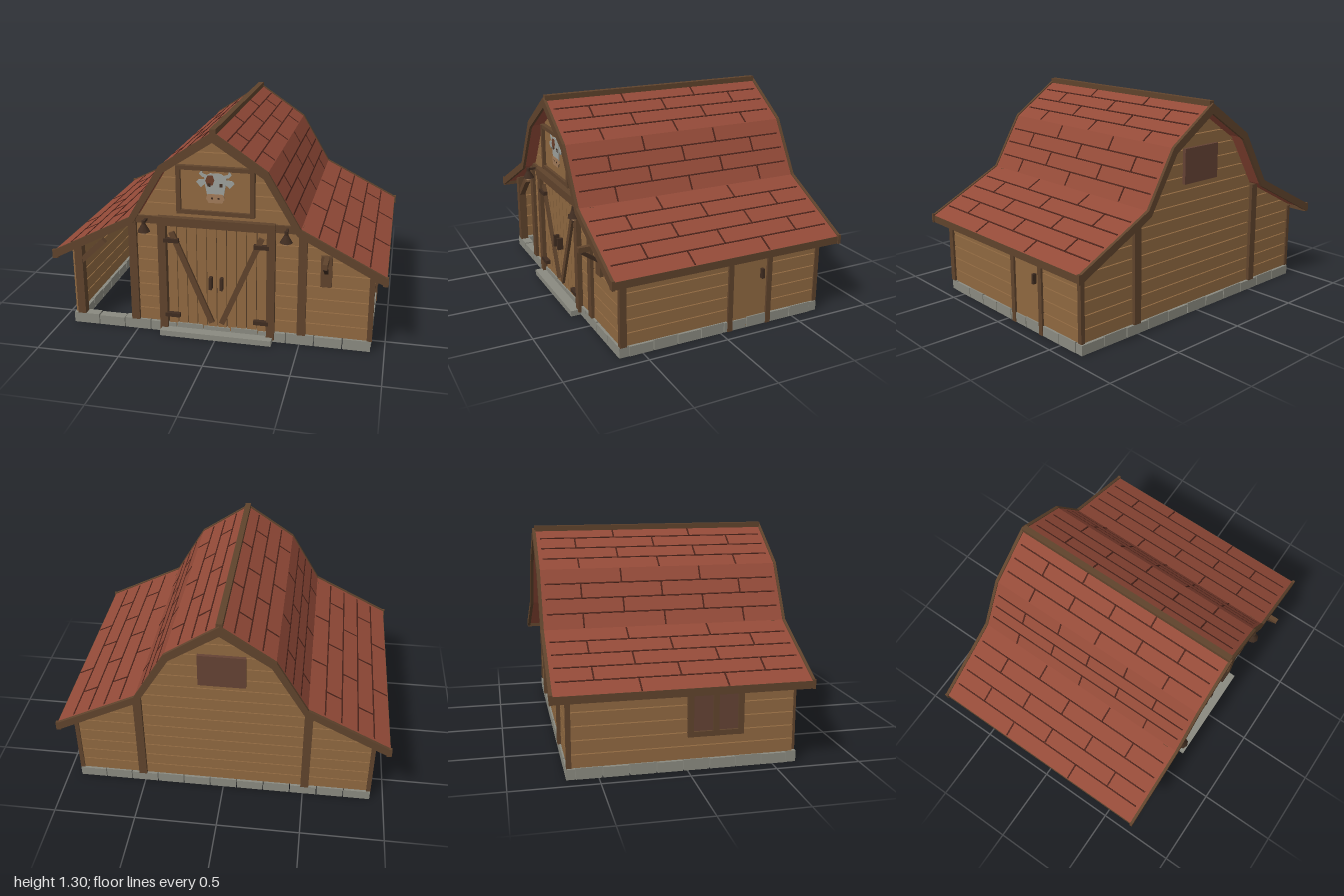
import * as THREE from 'three';

export function createModel() {
  const root = new THREE.Group();
  root.name = 'barn';
  const mat = (name, color) => Object.assign(new THREE.MeshStandardMaterial({ color }), { name });
  const wood = mat('plank wood', 0x8f6840), trim = mat('dark timber', 0x5f432c);
  const red = mat('roof red', 0x934a38), seam = mat('roof seam', 0x4c241b);
  const stone = mat('stone', 0x8a8a80), iron = mat('iron', 0x3f2c20);
  const white = mat('painted white', 0x9c9f9a), patch = mat('patch brown', 0x6b3f2a);
  const muzzleTan = mat('muzzle tan', 0xa07a58), hatchBrown = mat('shutter brown', 0x644234);

  const add = (name, geo, m, parent = root) => {
    const mesh = new THREE.Mesh(geo, m);
    mesh.name = name;
    parent.add(mesh);
    return mesh;
  };
  // Box given by its limits
  const box = (name, m, x0, x1, y0, y1, z0, z1) => {
    const mesh = add(name, new THREE.BoxGeometry(x1 - x0, y1 - y0, z1 - z0), m);
    mesh.position.set((x0 + x1) / 2, (y0 + y1) / 2, (z0 + z1) / 2);
    return mesh;
  };
  // Straight timber between two points in the front plane
  const beam = (name, m, ax, ay, bx, by, w, z0, z1) => {
    const mesh = add(name, new THREE.BoxGeometry(Math.hypot(bx - ax, by - ay), w, z1 - z0), m);
    mesh.position.set((ax + bx) / 2, (ay + by) / 2, (z0 + z1) / 2);
    mesh.rotation.z = Math.atan2(by - ay, bx - ax);
    return mesh;
  };
  // Outline in the front plane, extruded along z
  const plate = (name, m, pts, z0, z1) => {
    const shape = new THREE.Shape(pts.map(p => new THREE.Vector2(p[0], p[1])));
    const geo = new THREE.ExtrudeGeometry(shape, { depth: z1 - z0, bevelEnabled: false });
    return add(name, geo.translate(0, 0, z0), m);
  };

  // Gambrel roof profile, apex to eave, and the way inward at each point
  const P = [[0, 1.28], [0.312, 1.07], [0.502, 0.748], [0.99, 0.5]];
  const inward = [[0, -1.2], [-0.5, -0.75], [-0.4, -0.75], [-0.1, -1]];
  const inset = t => P.map((p, i) => [p[0] + inward[i][0] * t, p[1] + inward[i][1] * t]);
  const mirrored = pts => [...pts.slice(1).reverse().map(p => [-p[0], p[1]]), ...pts];
  const band = (t0, t1) => [...mirrored(inset(t0)), ...mirrored(inset(t1)).reverse()];

  plate('roofSlab', red, band(0, 0.03), -0.75, 0.7);
  for (const [z0, z1] of [[0.698, 0.715], [-0.767, -0.748]]) {
    plate('rakeBoard', trim, band(-0.006, 0.045), z0, z1);
    for (const s of [-1, 1]) box('rakeEnd', trim, s * 0.985 - 0.015, s * 0.985 + 0.015, 0.455, 0.51, z0, z1);
  }
  box('ridgeBeam', trim, -0.018, 0.018, 1.262, 1.3, -0.755, 0.705);

  // Shingle courses with staggered joints
  const courses = [4, 4, 5];
  let row = 0;
  courses.forEach((n, k) => {
    const [ax, ay] = P[k], [bx, by] = P[k + 1];
    const len = Math.hypot(bx - ax, by - ay) / n;
    for (let i = 0; i < n; i++, row++) {
      for (const s of [-1, 1]) {
        const strip = (name, t, l, d, z) => {
          const mesh = add(name, new THREE.BoxGeometry(l, 0.006, d), seam);
          mesh.position.set(s * (ax + (bx - ax) * t), ay + (by - ay) * t, z);
          mesh.rotation.z = Math.atan2(by - ay, s * (bx - ax));
        };
        if (i > 0) strip('courseSeam', i / n, 0.008, 1.4, -0.025);
        for (const z of row % 2 ? [0.455, -0.03, -0.515] : [0.215, -0.27])
          strip('shingleJoint', (i + 0.5) / n, len * 0.9, 0.009, z);
      }
    }
  });
  for (const s of [-1, 1])
    box('eaveFascia', trim, s * 0.98 - 0.012, s * 0.98 + 0.012, 0.455, 0.5, -0.75, 0.7);

  // Half width of the gable wall at a height
  const inner = inset(0.042);
  const halfW = y => {
    for (let i = 0; i < 3; i++) {
      const [ax, ay] = inner[i], [bx, by] = inner[i + 1];
      if (y >= by) return Math.min(0.9, ax + (bx - ax) * Math.max(0, (ay - y) / (ay - by)));
    }
    return 0.9;
  };
  const pitch = 0.08, gap = 0.006;
  // Horizontal boards from y0 to y1, between x0 and x1 and below the roof
  const gableBoards = (name, y0, y1, x0, x1, z0, z1) => {
    for (let y = y0; y < y1 - 0.01; y += pitch) {
      const top = Math.min(y + pitch - gap, y1);
      const ys = [y, ...[0.502, inner[2][1], inner[1][1]].filter(k => k > y && k < top), top];
      const right = ys.map(v => [Math.min(x1, halfW(v)), v]);
      const left = ys.map(v => [Math.max(x0, -halfW(v)), v]);
      if (right[0][0] - left[0][0] < 0.02 || right.some((p, i) => p[0] < left[i][0])) continue;
      plate(name, wood, [...right, ...left.reverse()], z0, z1);
    }
  };
  gableBoards('backBoard', 0.065, 1.225, -1, 1, -0.67, -0.645);
  gableBoards('frontGableBoard', 0.75, 1.225, -1, 1, 0.605, 0.63);
  gableBoards('frontWingBoard', 0.065, 0.72, 0.5, 1, 0.605, 0.63);
  for (const s of [-1, 1])
    gableBoards('frontBoard', 0.065, 0.75, s < 0 ? -0.5 : 0.33, s < 0 ? -0.33 : 0.5, 0.605, 0.63);

  // Side and inner walls
  const sideBoards = (name, x, top, z0, z1) => {
    for (let y = 0.065; y < top - 0.01; y += pitch)
      box(name, wood, x - 0.012, x + 0.012, y, Math.min(y + pitch - gap, top), z0, z1);
  };
  sideBoards('rightBoard', 0.9, 0.5, -0.06, 0.62);
  sideBoards('rightBoard', 0.9, 0.5, -0.66, -0.32);
  sideBoards('leftBoard', -0.9, 0.5, -0.66, 0.62);
  for (const s of [-1, 1]) sideBoards('innerBoard', s * 0.5, 0.72, -0.645, 0.605);

  // Foundation stones around the edge
  const ringX = 0.92, zf = 0.635, zb = -0.68;
  for (let i = 0; i < 11; i++) {
    const w = 2 * ringX / 11, x = -ringX + i * w;
    box('frontStone', stone, x + 0.003, x + w - 0.003, 0, i % 2 ? 0.06 : 0.065, zf - 0.05, zf + 0.008);
    box('backStone', stone, x + 0.003, x + w - 0.003, 0, i % 2 ? 0.065 : 0.06, zb, zb + 0.05);
  }
  for (let i = 0; i < 8; i++) {
    const w = (zf - zb - 0.1) / 8, z = zb + 0.05 + i * w;
    for (const s of [-1, 1])
      box('sideStone', stone, s * 0.895 - 0.025, s * 0.895 + 0.025, 0, i % 2 ? 0.06 : 0.065, z + 0.003, z + w - 0.003);
  }
  box('doorStep', stone, -0.34, 0.34, 0, 0.035, 0.62, 0.705);

  // Posts
  for (const s of [-1, 1]) {
    box('frontPost', trim, s * 0.51 - 0.025, s * 0.51 + 0.025, 0.065, 0.73, 0.6, 0.65);
    box('backPost', trim, s * 0.51 - 0.025, s * 0.51 + 0.025, 0.065, 0.71, -0.69, -0.64);
    box('backCorner', trim, s * 0.905 - 0.013, s * 0.905 + 0.013, 0.065, 0.49, -0.678, -0.65);
    box('topBeam', trim, s * 0.42 - 0.09, s * 0.42 + 0.09, 0.7, 0.745, 0.61, 0.645);
  }
  box('frontCorner', trim, 0.895, 0.925, 0.065, 0.49, 0.6, 0.64);
  box('wingPost', trim, -0.89, -0.84, 0.065, 0.54, 0.595, 0.645);
  beam('wingBrace', trim, -0.85, 0.42, -0.7, 0.56, 0.035, 0.605, 0.64);

  // Main double door
  for (const s of [-1, 1]) {
    box('doorJamb', trim, s * 0.327 - 0.024, s * 0.327 + 0.024, 0.02, 0.72, 0.6, 0.66);
    for (let i = 0; i < 5; i++)
      box('doorPlank', wood, s * (0.03 + i * 0.06) - 0.0275, s * (0.03 + i * 0.06) + 0.0275, 0.04, 0.7, 0.615, 0.635);
    beam('doorBrace', trim, s * 0.27, 0.655, s * 0.03, 0.09, 0.034, 0.634, 0.652);
    for (const y of [0.122, 0.605])
      box('hinge', iron, s * 0.27 - 0.045, s * 0.27 + 0.045, y - 0.012, y + 0.012, 0.634, 0.663);
    box('doorHandle', iron, s * 0.033 - 0.009, s * 0.033 + 0.009, 0.315, 0.39, 0.634, 0.67);
  }
  box('doorBacking', iron, -0.3, 0.3, 0.04, 0.7, 0.611, 0.616);
  box('doorLintel', trim, -0.35, 0.35, 0.7, 0.752, 0.6, 0.668);

  // Lamps beside the door
  for (const s of [-1, 1]) {
    const lamp = new THREE.Group();
    lamp.name = 'lamp';
    lamp.position.set(s * 0.42, 0, 0.697);
    add('lampShade', new THREE.CylinderGeometry(0.012, 0.038, 0.045, 8), iron, lamp).position.y = 0.69;
    add('lampCap', new THREE.CylinderGeometry(0.012, 0.012, 0.022, 8), iron, lamp).position.y = 0.723;
    add('lampBulb', new THREE.CylinderGeometry(0.014, 0.014, 0.02, 8), muzzleTan, lamp).position.y = 0.662;
    add('lampArm', new THREE.BoxGeometry(0.014, 0.014, 0.06), iron, lamp).position.set(0, 0.725, -0.03);
    root.add(lamp);
  }

  // Wall bracket with a strut
  box('bracketPlate', trim, 0.615, 0.68, 0.39, 0.58, 0.63, 0.65);
  box('bracketArm', trim, 0.635, 0.663, 0.55, 0.58, 0.645, 0.767);
  const strut = box('bracketStrut', iron, 0.638, 0.66, 0.505, 0.525, 0.64, 0.755);
  strut.rotation.x = -0.6;

  // Gable sign with a painted cow head
  box('signPanel', wood, -0.21, 0.21, 0.8, 1.055, 0.63, 0.642);
  for (const s of [-1, 1]) box('signFrame', trim, s * 0.217 - 0.013, s * 0.217 + 0.013, 0.78, 1.07, 0.63, 0.662);
  for (const y of [0.793, 1.058]) box('signFrame', trim, -0.21, 0.21, y - 0.012, y + 0.012, 0.63, 0.66);
  const z0 = 0.642;
  plate('cowHead', white, [[-0.045, 0.88], [0.045, 0.88], [0.06, 0.96], [0.065, 1.01], [0.03, 1.03], [-0.03, 1.03], [-0.065, 1.01], [-0.06, 0.96]], z0, z0 + 0.006);
  plate('cowMuzzle', muzzleTan, [[-0.04, 0.855], [0.04, 0.855], [0.055, 0.88], [0.045, 0.908], [-0.045, 0.908], [-0.055, 0.88]], z0, z0 + 0.009);
  plate('cowPatch', patch, [[-0.045, 0.955], [-0.015, 0.96], [-0.005, 0.99], [-0.015, 1.02], [-0.045, 1.017], [-0.058, 0.985]], z0, z0 + 0.008);
  for (const s of [-1, 1]) {
    const side = pts => s > 0 ? pts : pts.map(p => [-p[0], p[1]]).reverse();
    plate('cowEar', white, side([[0.055, 0.97], [0.085, 0.945], [0.112, 0.975], [0.1, 0.99], [0.06, 0.995]]), z0, z0 + 0.005);
    plate('cowHorn', white, side([[0.04, 1.015], [0.075, 1.005], [0.095, 1.025], [0.078, 1.052], [0.075, 1.028]]), z0, z0 + 0.005);
    box('cowEye', iron, s * 0.035 - 0.008, s * 0.035 + 0.008, 0.952, 0.972, z0, z0 + 0.0095);
    box('cowNostril', iron, s * 0.02 - 0.006, s * 0.02 + 0.006, 0.878, 0.888, z0, z0 + 0.0098);
  }

  // Side door on the right
  box('sideDoor', wood, 0.89, 0.912, 0.005, 0.48, -0.31, -0.075);
  for (const z of [-0.06, -0.322]) box('sideDoorPost', trim, 0.885, 0.925, 0, 0.49, z - 0.016, z + 0.016);
  box('sideDoorHandle', iron, 0.91, 0.935, 0.3, 0.36, -0.28, -0.263);

  // Shuttered window on the left
  box('windowShutter', hatchBrown, -0.922, -0.91, 0.22, 0.47, 0.02, 0.3);
  for (const z of [0.015, 0.16, 0.305]) box('windowFrame', trim, -0.938, -0.905, 0.2, 0.48, z - 0.016, z + 0.016);
  for (const y of [0.215, 0.465]) box('windowFrame', trim, -0.936, -0.905, y - 0.015, y + 0.015, 0, 0.32);

  // Loft hatch at the back
  box('loftHatch', hatchBrown, -0.14, 0.14, 0.82, 1.03, -0.69, -0.668);
  return root;
}
